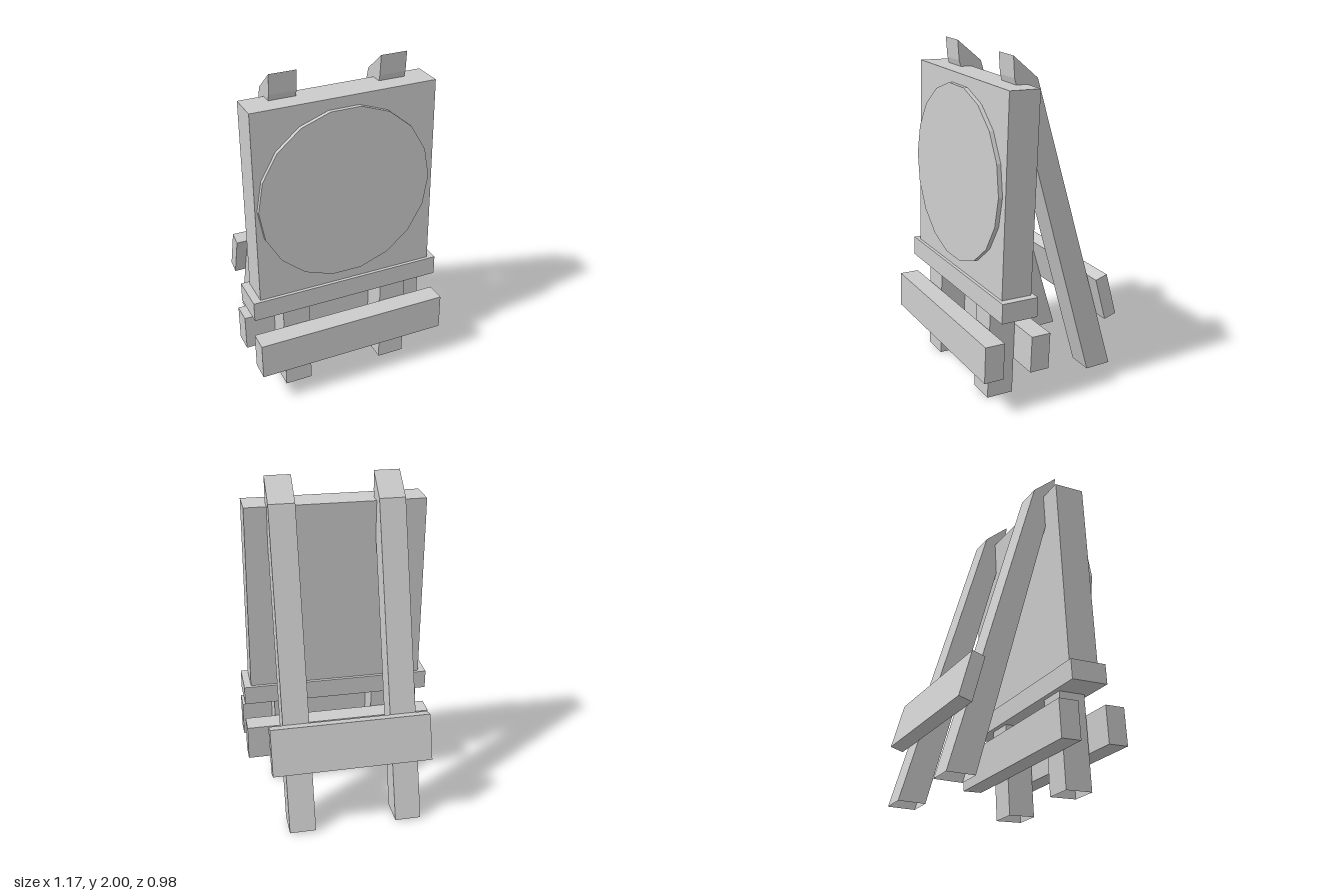
import * as THREE from 'three';

const LEAN = -0.041; // backward lean of the front assembly
const material = new THREE.MeshStandardMaterial({ color: 0xcccccc, flatShading: true, side: THREE.DoubleSide });

// Centre depth of the leaning front assembly at height y
const leanZ = (y) => 0.292 + LEAN * y;

function addMesh(parent, name, geometry, x, y, z, tilt = 0) {
  const mesh = new THREE.Mesh(geometry, material);
  mesh.name = name;
  mesh.position.set(x, y, z);
  mesh.rotation.x = tilt;
  parent.add(mesh);
  return mesh;
}

// Box without its underside, for the hollow legs
function openBottomBox(w, h, d, rows = 1) {
  const g = new THREE.BoxGeometry(w, h, d, 1, rows, 1);
  const { start, count } = g.groups[3];
  const index = Array.from(g.index.array);
  index.splice(start, count);
  g.setIndex(index);
  g.clearGroups();
  return g;
}

// Slanted rear leg: each row of the box is moved to its [z, y] front and back corners
function rearLegGeometry(width) {
  const rows = [
    { front: [-0.32, 0.015], back: [-0.485, 0.015] },
    { front: [0.203, 1.88], back: [0.055, 1.853] },
    { front: [0.21, 2.0], back: [0.06, 1.87] },
  ];
  const g = openBottomBox(width, 2, 1, 2);
  const p = g.attributes.position;
  for (let i = 0; i < p.count; i++) {
    const row = rows[Math.round(p.getY(i)) + 1];
    const [z, y] = p.getZ(i) > 0 ? row.front : row.back;
    p.setXYZ(i, p.getX(i), y, z);
  }
  g.computeVertexNormals();
  return g;
}

export function createModel() {
  const group = new THREE.Group();
  group.name = 'easel';

  // Front panel with a thin round disc on its face
  addMesh(group, 'board', new THREE.BoxGeometry(1.085, 1.24, 0.187), 0.002, 1.225, leanZ(1.225), LEAN);
  const disc = new THREE.CylinderGeometry(0.52, 0.52, 0.027, 18);
  disc.rotateY(Math.PI / 2);
  disc.rotateX(Math.PI / 2);
  addMesh(group, 'disc', disc, -0.008, 1.274, leanZ(1.274) + 0.105, LEAN);

  // Tray under the board
  addMesh(group, 'tray', new THREE.BoxGeometry(1.175, 0.119, 0.226), 0, 0.627, leanZ(0.627), LEAN);

  // Crossbars in front of and behind the front legs
  for (const [name, y, offset] of [['frontCrossbar', 0.342, 0.15], ['innerCrossbar', 0.33, -0.147]]) {
    addMesh(group, name, new THREE.BoxGeometry(1.175, 0.222, 0.121), 0, y, leanZ(y) + offset, LEAN);
  }

  // Front legs, running up into the board
  for (const x of [-0.318, 0.315]) {
    addMesh(group, 'frontLeg', openBottomBox(0.166, 0.68, 0.165), x, 0.347, leanZ(0.347), LEAN);
  }

  // Rear legs and the bar joining them
  for (const x of [-0.314, 0.333]) {
    addMesh(group, 'rearLeg', rearLegGeometry(0.157), x, 0, 0);
  }
  addMesh(group, 'rearCrossbar', new THREE.BoxGeometry(0.957, 0.28, 0.08), 0.018, 0.525, -0.38, 0.27);

  return group;
}
